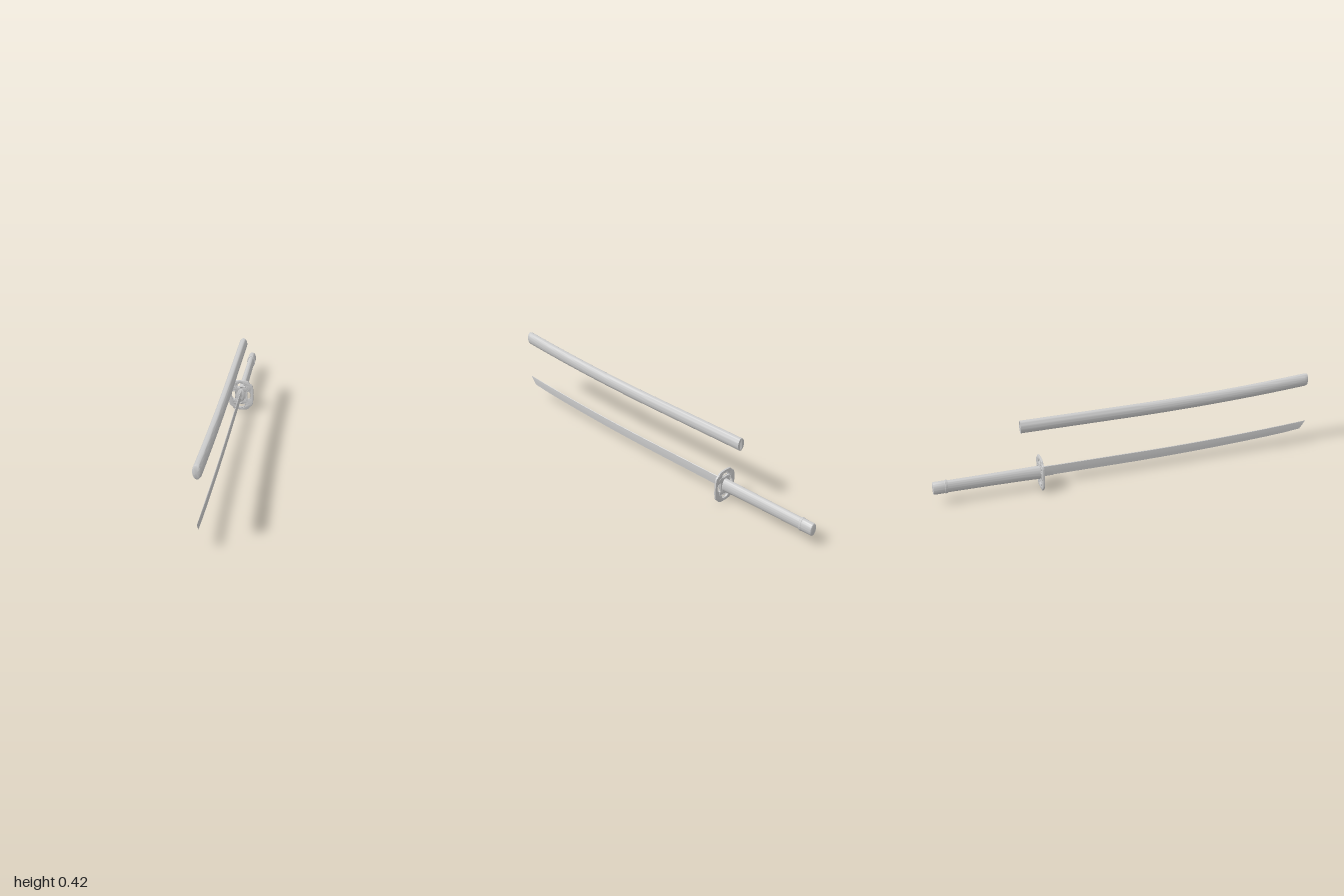
import * as THREE from 'three';
import { toCreasedNormals } from 'three/addons/utils/BufferGeometryUtils.js';

const material = new THREE.MeshStandardMaterial({ color: 0xcccccc });
const GUARD_Y = 0.0875, GUARD_Z = -0.463;

// Unit cross-sections, counter-clockwise seen from +z
const OVAL = Array.from({ length: 36 }, (_, i) => {
  const a = (i / 36) * Math.PI * 2;
  return [Math.cos(a), Math.sin(a)];
});
const BLADE = [[0, -1], [0.6, -0.4], [1, 0.2], [0.8, 0.92], [0, 1], [-0.8, 0.92], [-1, 0.2], [-0.6, -0.4]];

// Skin a profile through stations [z, centreY, halfWidth, halfHeight, lean]
function loft(profile, stations, crease = 0.6) {
  const n = profile.length, pos = [], idx = [];
  for (const [z, cy, rx, ry, lean = 0] of stations)
    for (const [x, y] of profile) pos.push(x * rx, cy + y * ry, z + y * lean);
  for (let i = 0; i < stations.length - 1; i++) {
    for (let j = 0; j < n; j++) {
      const a = i * n + j, b = i * n + ((j + 1) % n);
      if (stations[i][3] > 0) idx.push(a, b, b + n);
      if (stations[i + 1][3] > 0) idx.push(a, b + n, a + n);
    }
  }
  // Rings of zero size close an end: keep the one triangle that has area
  const fixed = [];
  for (let k = 0; k < idx.length; k += 3) {
    const t = idx.slice(k, k + 3);
    fixed.push(...t);
  }
  const g = new THREE.BufferGeometry();
  g.setAttribute('position', new THREE.Float32BufferAttribute(pos, 3));
  g.setIndex(fixed);
  return toCreasedNormals(g, crease);
}

function add(parent, name, geometry) {
  const mesh = new THREE.Mesh(geometry, material);
  mesh.name = name;
  parent.add(mesh);
  return mesh;
}

// Gentle upward curve shared by blade and scabbard
const bend = (z) => (z > 0 ? 0.035 * z * z : 0);
const range = (from, to, steps) => Array.from({ length: steps + 1 }, (_, i) => from + ((to - from) * i) / steps);

// Closed smooth outline from points
const smooth = (pts, count) => new THREE.CatmullRomCurve3(
  pts.map(([x, y]) => new THREE.Vector3(x, y, 0)), true, 'catmullrom', 0.35).getPoints(count).slice(0, -1);

// Mirror a quarter outline (running from +y to +x) into all four quadrants
function fourfold(q) {
  const r = [...q].reverse();
  const all = [...r, ...q.map(([x, y]) => [-x, y]), ...r.map(([x, y]) => [-x, -y]), ...q.map(([x, y]) => [x, -y])];
  return all.filter(([x, y], i) => {
    const [px, py] = all[(i + all.length - 1) % all.length];
    return Math.hypot(x - px, y - py) > 1e-5;
  });
}

// Half-round window: flat side at distance r from the centre, turned by angle
function windowOutline(r, h, w, angle) {
  const half = [[0, 0], [0.5, 0], [0.92, 0], [1, 0.12], [1, 0.45], [0.8, 0.82], [0.42, 1], [0, 1]];
  const pts = [...half, ...half.slice(1, -1).reverse().map(([x, y]) => [-x, y])];
  const c = Math.cos(angle), s = Math.sin(angle);
  return smooth(pts.map(([x, y]) => {
    const px = x * w, py = r + y * h;
    return [px * c - py * s, px * s + py * c];
  }), 48);
}

function createGuard() {
  const guard = new THREE.Group();
  guard.name = 'guard';
  guard.position.set(0, GUARD_Y, GUARD_Z);

  // Pierced plate with stepped corners
  const outline = smooth(fourfold([[0, 0.0875], [0.028, 0.0855], [0.041, 0.081], [0.047, 0.07],
    [0.059, 0.063], [0.065, 0.051], [0.068, 0.025], [0.0685, 0]]), 112);
  const windows = [0, 1, 2, 3].map((i) => (i % 2
    ? windowOutline(0.033, 0.02, 0.024, (i * Math.PI) / 2)
    : windowOutline(0.05, 0.021, 0.023, (i * Math.PI) / 2)));
  const shape = new THREE.Shape(outline.map((p) => new THREE.Vector2(p.x, p.y)));
  shape.holes = windows.map((w) => new THREE.Path(w.map((p) => new THREE.Vector2(p.x, p.y))));
  const plate = new THREE.ExtrudeGeometry(shape, {
    depth: 0.006, bevelEnabled: true, bevelSize: 0.002, bevelOffset: -0.002, bevelThickness: 0.002, bevelSegments: 2,
  });
  plate.translate(0, 0, -0.003);
  add(guard, 'guardPlate', toCreasedNormals(plate, 0.7));

  // Raised cords around the windows and the lobed centre field, on both faces
  const field = smooth(fourfold([[0, 0.047], [0.022, 0.047], [0.034, 0.05], [0.042, 0.043],
    [0.037, 0.031], [0.031, 0.023], [0.031, 0]]), 80);
  for (const z of [-0.005, 0.005]) {
    [...windows, field].forEach((pts, i) => {
      const curve = new THREE.CatmullRomCurve3(pts, true);
      const rim = new THREE.TubeGeometry(curve, 72, 0.0018, 6, true);
      add(guard, i < 4 ? 'windowRim' : 'fieldRim', rim).position.z = z;
    });
  }
  return guard;
}

function createSword() {
  const sword = new THREE.Group();
  sword.name = 'sword';

  // Blade thinning to a slanted point
  const body = range(-0.46, 0.78, 24).map((z) => [z, 0.091 + bend(z), 0.0027, 0.0265 - 0.003 * Math.max(z, 0)]);
  add(sword, 'blade', loft(BLADE, [
    ...body,
    [0.88, 0.091 + bend(0.88), 0.002, 0.0235, 0.006],
    [0.984, 0.126, 0.0006, 0.022, 0.016],
    [0.984, 0.126, 0, 0, 0],
  ]));

  // Collar at the blade root
  add(sword, 'bladeCollar', loft(BLADE, [
    [-0.46, 0.0905, 0.0042, 0.0285], [-0.4, 0.0905, 0.0036, 0.028], [-0.4, 0.0905, 0, 0],
  ]));

  add(sword, 'guardWasher', loft(OVAL, [
    [-0.472, 0.088, 0.0225, 0.037], [-0.457, 0.088, 0.0225, 0.037],
    [-0.4545, 0.088, 0.019, 0.032], [-0.453, 0.088, 0.011, 0.018], [-0.4525, 0.088, 0, 0],
  ], 0.8));
  sword.add(createGuard());

  // Handle, narrowing toward the pommel
  add(sword, 'handle', loft(OVAL, [
    [-0.94, 0.0925, 0.0185, 0.032], [-0.7, 0.0915, 0.0195, 0.033],
    [-0.55, 0.0905, 0.021, 0.0345], [-0.465, 0.0895, 0.022, 0.036],
  ]));

  // Pommel cap with a raised band at its mouth
  const cap = [[-1, 0, 0], [-1, 0.0175, 0.029], [-0.998, 0.0205, 0.032], [-0.993, 0.022, 0.0335],
    [-0.942, 0.022, 0.0335], [-0.94, 0.0235, 0.0355], [-0.931, 0.0235, 0.0355], [-0.928, 0.022, 0.034], [-0.928, 0, 0]];
  add(sword, 'pommel', loft(OVAL, cap.map(([z, rx, ry]) => [z, 0.0925, rx, ry])));
  return sword;
}

function createScabbard() {
  const scabbard = new THREE.Group();
  scabbard.name = 'scabbard';
  const y = (z) => 0.354 + bend(z) * 1.09;
  // Slot wall, mouth face, outer wall, then the rounded end
  add(scabbard, 'scabbardBody', loft(OVAL, [
    [0.9, y(0.9), 0, 0],
    ...range(0.9, -0.555, 20).map((z) => [z, y(z), 0.004, 0.0275]),
    ...range(-0.555, 0.965, 28).map((z) => [z, y(z), 0.0215 + 0.0005 * z, 0.0335 + 0.001 * z]),
    [0.978, y(0.978), 0.0212, 0.0342],
    [0.986, y(0.986), 0.0185, 0.0325],
    [0.99, y(0.99), 0.012, 0.024],
    [0.992, y(0.992), 0, 0],
  ], 0.75));
  return scabbard;
}

export function createModel() {
  const model = new THREE.Group();
  model.name = 'swordAndScabbard';
  model.add(createSword(), createScabbard());
  return model;
}
